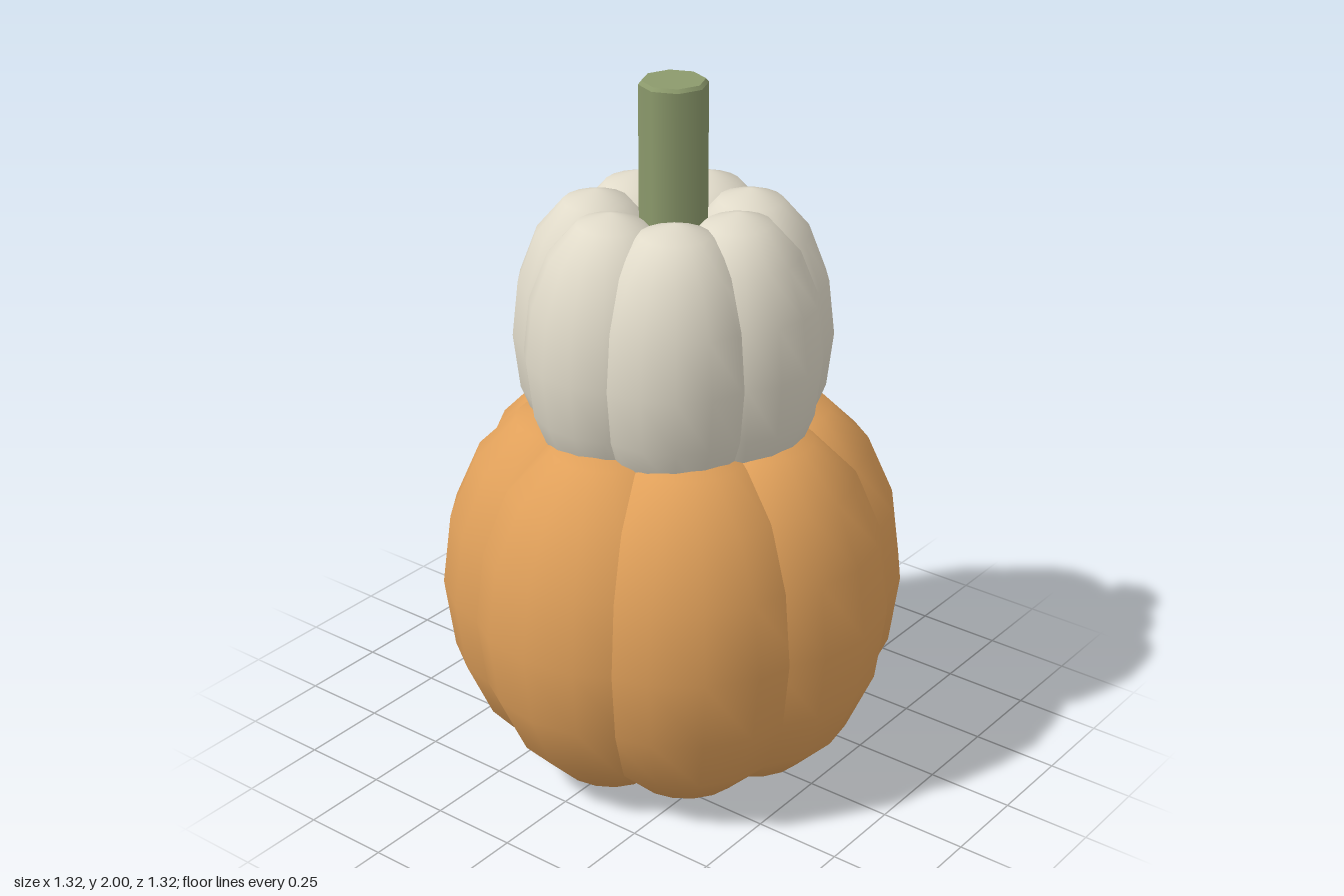
import * as THREE from 'three';

function material(name, color) {
  const m = new THREE.MeshStandardMaterial({ color });
  m.name = name;
  return m;
}

// A pumpkin is a ring of overlapping ellipsoid lobes around the y axis
function pumpkin(name, mat, { count, y, offset, radial, height, tangential }) {
  const group = new THREE.Group();
  group.name = name;
  const lobe = new THREE.SphereGeometry(1, 16, 8)
    .scale(radial, height, tangential)
    .translate(offset, y, 0);
  for (let i = 0; i < count; i++) {
    const mesh = new THREE.Mesh(lobe, mat);
    mesh.name = name + 'Lobe' + (i + 1);
    mesh.rotation.y = (i / count) * Math.PI * 2;
    group.add(mesh);
  }
  return group;
}

export function createModel() {
  const model = new THREE.Group();
  model.name = 'stackedPumpkins';
  const orange = material('pumpkin orange', 0xe0a05a);
  const cream = material('pumpkin cream', 0xe0dac9);
  const green = material('stem green', 0x8c9a6c);

  model.add(pumpkin('lowerPumpkin', orange,
    { count: 8, y: 0.54, offset: 0.31, radial: 0.35, height: 0.54, tangential: 0.39 }));
  model.add(pumpkin('upperPumpkin', cream,
    { count: 7, y: 1.27, offset: 0.215, radial: 0.235, height: 0.41, tangential: 0.248 }));

  // Octagonal stem with a narrow chamfer at the top
  const stem = new THREE.Group();
  stem.name = 'stem';
  const shaft = new THREE.Mesh(new THREE.CylinderGeometry(0.094, 0.094, 0.74, 8, 1, true), green);
  shaft.name = 'stemShaft';
  shaft.position.y = 1.62;
  const tip = new THREE.Mesh(new THREE.CylinderGeometry(0.086, 0.094, 0.01, 8), green);
  tip.name = 'stemTip';
  tip.position.y = 1.995;
  stem.add(shaft, tip);
  model.add(stem);
  return model;
}
